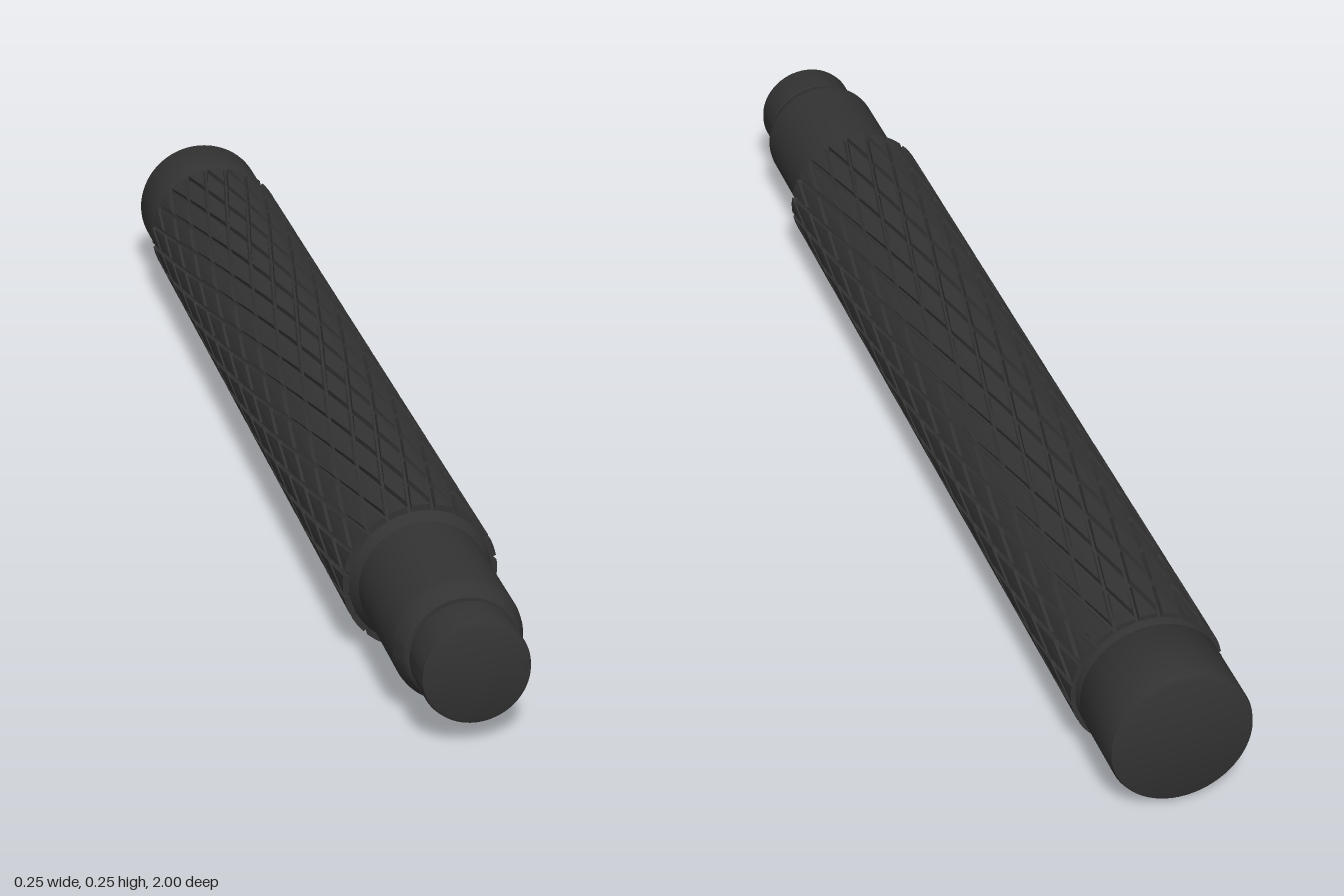
import * as THREE from 'three';
import { toCreasedNormals } from 'three/addons/utils/BufferGeometryUtils.js';

const MAT = new THREE.MeshStandardMaterial({ color: 0x333333 });
const PAD_MAT = new THREE.MeshStandardMaterial({ color: 0x333333, flatShading: true });
const AXIS_Y = 0.125;

// Turned part along z from [radius, z] pairs, listed back to front
function turned(name, profile) {
  const pts = profile.map(([r, z]) => new THREE.Vector2(r, z));
  const geo = new THREE.LatheGeometry(pts, 64).rotateX(Math.PI / 2);
  const mesh = new THREE.Mesh(toCreasedNormals(geo, 0.5), MAT);
  mesh.name = name;
  return mesh;
}

// Raised diamond pads laid on two opposed helices; end rows are cut in half
function knurling(z0, z1, around, periods, rBase, rTop) {
  const pos = [];
  const halfZ = (z1 - z0) / periods / 2;
  const halfA = Math.PI / around;
  const point = (a, z, r) => [r * Math.sin(a), r * Math.cos(a), THREE.MathUtils.clamp(z, z0, z1)];
  const tri = (a, b, c) => pos.push(...a, ...b, ...c);
  for (let row = 0; row <= periods * 2; row++) {
    for (let i = 0; i < around; i++) {
      const a = (2 * i + (row % 2)) * halfA;
      const z = z0 + row * halfZ;
      const ring = (s, r) => [[1, 0], [0, -1], [-1, 0], [0, 1]].map(
        ([u, v]) => point(a + u * s * halfA, z + v * s * halfZ, r));
      const low = ring(0.9, rBase), high = ring(0.78, rTop);
      // top, folded along its long axis
      tri(high[0], high[1], point(a, z, rTop));
      tri(high[1], high[2], point(a, z, rTop));
      tri(high[2], high[3], point(a, z, rTop));
      tri(high[3], high[0], point(a, z, rTop));
      // sloped sides
      for (let k = 0; k < 4; k++) {
        const n = (k + 1) % 4;
        tri(low[k], low[n], high[n]);
        tri(low[k], high[n], high[k]);
      }
    }
  }
  const geo = new THREE.BufferGeometry();
  geo.setAttribute('position', new THREE.Float32BufferAttribute(pos, 3));
  geo.computeVertexNormals();
  const mesh = new THREE.Mesh(geo, PAD_MAT);
  mesh.name = 'gripKnurling';
  return mesh;
}

export function createModel() {
  const group = new THREE.Group();
  group.name = 'handle';

  const body = new THREE.Group();
  body.name = 'handleBody';
  body.position.y = AXIS_Y;
  group.add(body);

  body.add(
    turned('rearCap', [[0, -1], [0.111, -1], [0.115, -0.998], [0.117, -0.992],
      [0.117, -0.864], [0.115, -0.86], [0, -0.86]]),
    turned('gripCore', [[0, -0.862], [0.113, -0.862], [0.117, -0.85], [0.117, 0.66],
      [0.113, 0.67], [0.103, 0.684], [0, 0.684]]),
    knurling(-0.845, 0.668, 20, 8, 0.115, 0.125),
    turned('frontShank', [[0, 0.67], [0.103, 0.67], [0.103, 0.885], [0.102, 0.893],
      [0.091, 0.917], [0.087, 0.92], [0, 0.92]]),
    turned('neck', [[0, 0.91], [0.079, 0.91], [0.079, 0.93], [0, 0.93]]),
    turned('frontButton', [[0, 0.926], [0.083, 0.926], [0.086, 0.929], [0.086, 0.99],
      [0.084, 0.997], [0.078, 1], [0, 1]]),
  );
  return group;
}
